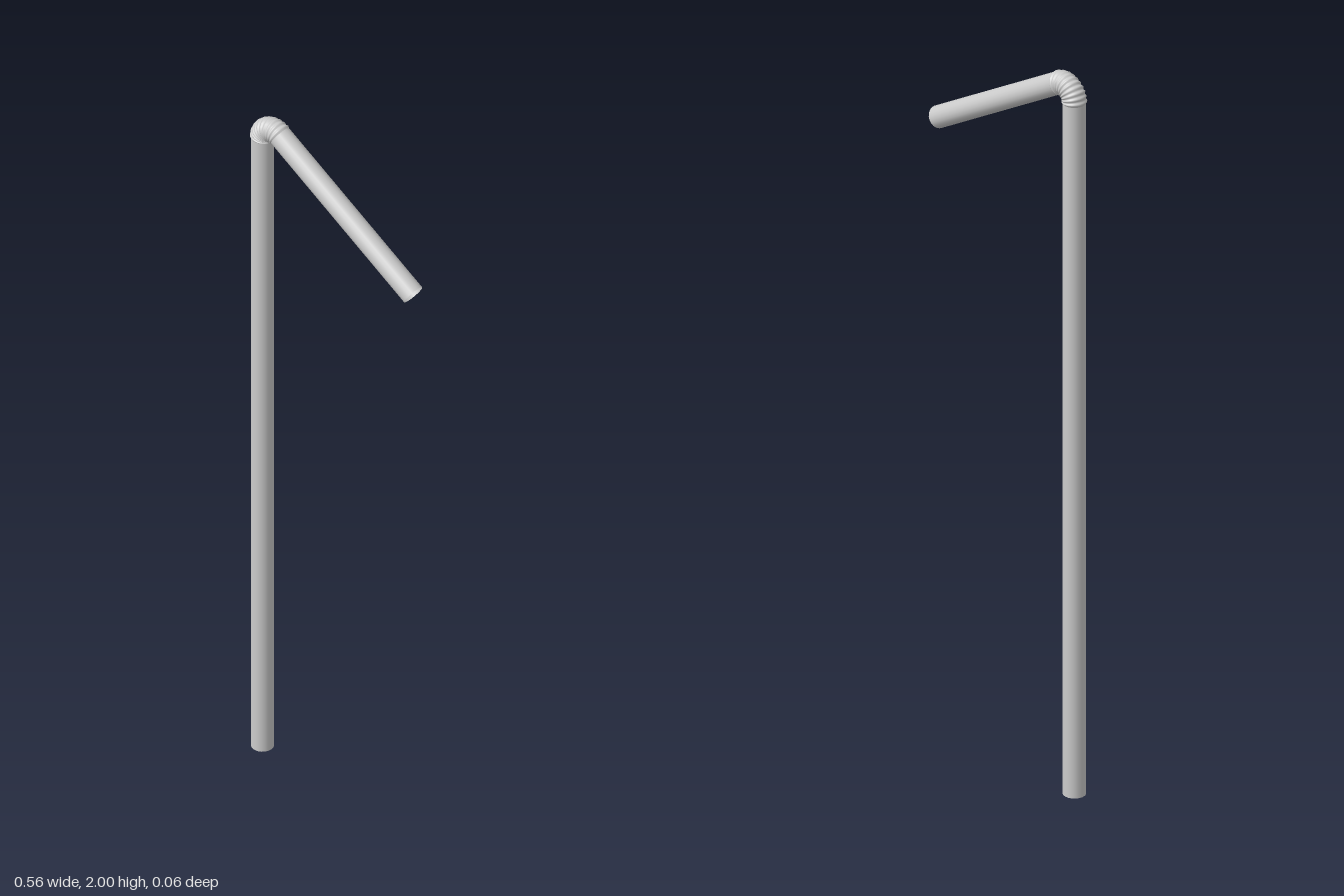
import * as THREE from 'three';
import { mergeVertices } from 'three/addons/utils/BufferGeometryUtils.js';

const SIDES = 20;
const RADIUS = 0.0295;      // tube radius
const RIB = 0.003;          // rib height
const RIBS = 10;
const BEND = 0.04;          // radius of the bend's centre line
const TURN = (2 * Math.PI) / 3;
const STEM_X = -0.25;
const STEM_TOP = 1.928;

const material = new THREE.MeshStandardMaterial({ color: 0xcccccc, side: THREE.DoubleSide });

// Open straight tube between two points
function straightTube(name, from, to) {
  const axis = to.clone().sub(from);
  const mesh = new THREE.Mesh(
    new THREE.CylinderGeometry(RADIUS, RADIUS, axis.length(), SIDES, 1, true), material);
  mesh.name = name;
  mesh.position.copy(from).add(to).multiplyScalar(0.5);
  mesh.quaternion.setFromUnitVectors(new THREE.Vector3(0, 1, 0), axis.normalize());
  return mesh;
}

// Torus section whose tube radius swells and shrinks into ribs
function ribbedBend() {
  let geo = new THREE.TorusGeometry(BEND, RADIUS, SIDES, RIBS * 6, TURN);
  const pos = geo.attributes.position;
  const p = new THREE.Vector3(), c = new THREE.Vector3();
  for (let i = 0; i < pos.count; i++) {
    p.fromBufferAttribute(pos, i);
    const t = geo.attributes.uv.getX(i);
    c.set(Math.cos(t * TURN), Math.sin(t * TURN), 0).multiplyScalar(BEND);
    const r = RADIUS + RIB * Math.sin(t * RIBS * Math.PI) ** 2;
    p.sub(c).setLength(r).add(c);
    pos.setXYZ(i, p.x, p.y, p.z);
  }
  geo.deleteAttribute('uv');
  geo.deleteAttribute('normal');
  geo = mergeVertices(geo, 1e-5);
  geo.computeVertexNormals();
  geo.rotateZ(Math.PI - TURN);
  const mesh = new THREE.Mesh(geo, material);
  mesh.name = 'ribbedBend';
  mesh.position.set(STEM_X + BEND, STEM_TOP, 0);
  return mesh;
}

export function createModel() {
  const straw = new THREE.Group();
  straw.name = 'bendyStraw';

  // Long upright stem
  straw.add(straightTube('stem',
    new THREE.Vector3(STEM_X, 0, 0), new THREE.Vector3(STEM_X, STEM_TOP, 0)));

  straw.add(ribbedBend());

  // Short mouthpiece sloping down from the end of the bend
  const a = Math.PI - TURN;
  const start = new THREE.Vector3(
    STEM_X + BEND + BEND * Math.cos(a), STEM_TOP + BEND * Math.sin(a), 0);
  const dir = new THREE.Vector3(Math.sin(a), -Math.cos(a), 0);
  straw.add(straightTube('mouthpiece', start, start.clone().addScaledVector(dir, 0.527)));

  return straw;
}
